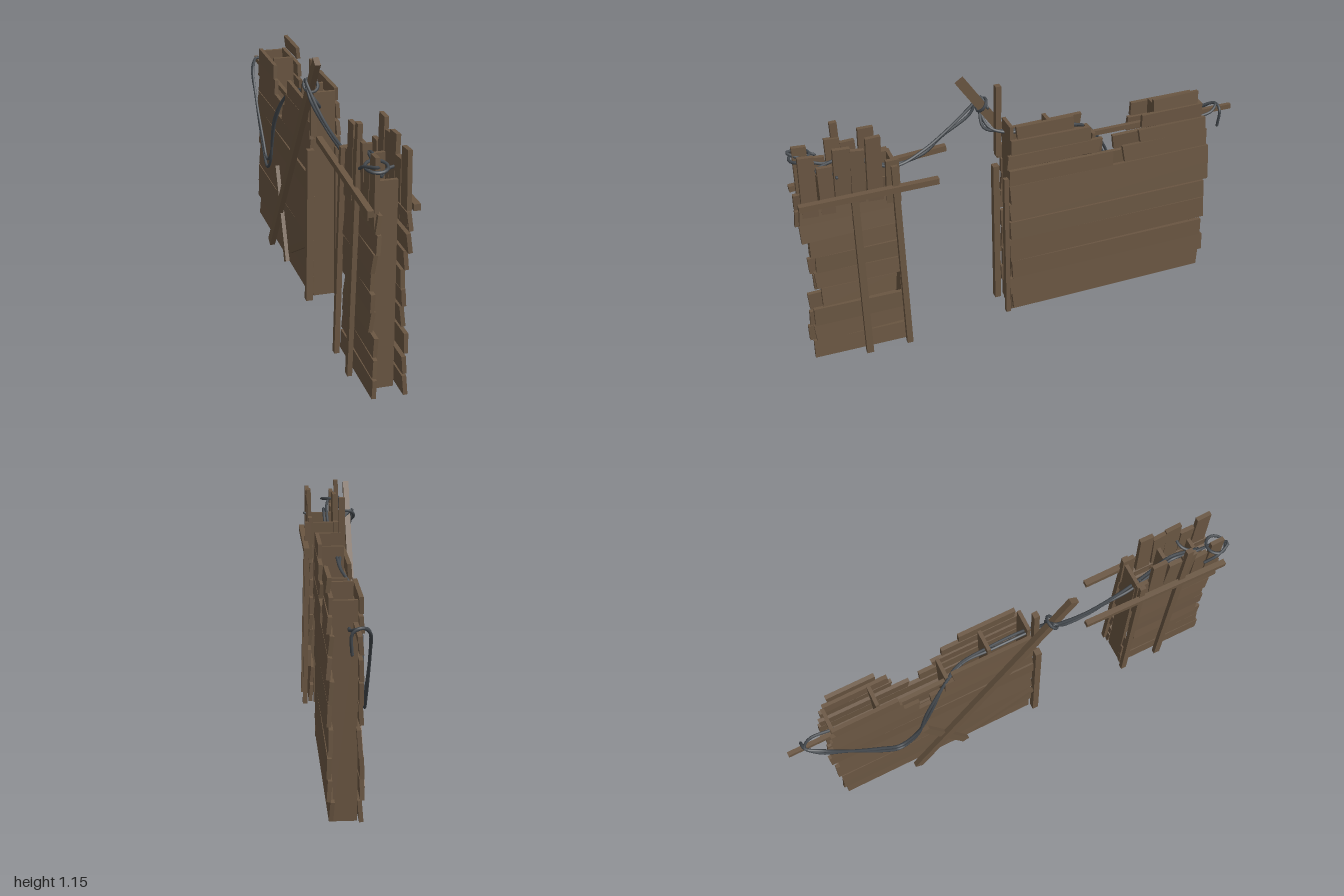
import * as THREE from 'three';

export function createModel() {
  const model = new THREE.Group();
  const wood = new THREE.MeshStandardMaterial({ color: 0x6a5642 });
  wood.name = 'weatheredWood';
  const rubber = new THREE.MeshStandardMaterial({ color: 0x43484d });
  rubber.name = 'greyCable';

  // Small seeded generator for uneven boards, returns -1..1
  let seed = 7;
  const rnd = () => {
    seed = (seed * 16807) % 2147483647;
    return (seed / 2147483647) * 2 - 1;
  };

  function add(name, geometry, material, parent = model) {
    const mesh = new THREE.Mesh(geometry, material);
    mesh.name = name;
    parent.add(mesh);
    return mesh;
  }

  // Board along z between z0 and z1, y0 and y1, with roughly sawn ends
  function board(name, parent, x, y0, y1, z0, z1, t = 0.017, rough = 0.006) {
    const g = new THREE.BoxGeometry(t, y1 - y0, z1 - z0);
    const p = g.attributes.position;
    const dz = [0, 1, 2, 3].map(() => rnd() * rough);
    const dy = [0, 1, 2, 3].map(() => rnd() * rough * 0.6);
    for (let i = 0; i < p.count; i++) {
      const k = (p.getY(i) > 0 ? 1 : 0) + (p.getZ(i) > 0 ? 2 : 0);
      p.setY(i, p.getY(i) + dy[k]);
      p.setZ(i, p.getZ(i) + dz[k]);
    }
    g.computeVertexNormals();
    const m = add(name, g, wood, parent);
    m.position.set(x, (y0 + y1) / 2, (z0 + z1) / 2);
    return m;
  }

  // Straight beam between two points: w across the wall face, t through it
  function beam(name, a, b, w, t) {
    const p = new THREE.Vector3(...a), q = new THREE.Vector3(...b);
    const dir = q.clone().sub(p);
    const m = add(name, new THREE.BoxGeometry(t, dir.length(), w), wood);
    m.position.copy(p).add(q).multiplyScalar(0.5);
    const up = dir.normalize();
    const side = new THREE.Vector3(1, 0, 0).addScaledVector(up, -up.x).normalize();
    m.quaternion.setFromRotationMatrix(
      new THREE.Matrix4().makeBasis(side, up, new THREE.Vector3().crossVectors(side, up)));
    return m;
  }

  // Large wall cladding: bottom, top, then z spans of each row
  const largeRows = [
    [0.02, 0.1, [-0.84, 0.09]], [0.108, 0.187, [-0.85, 0.1]],
    [0.192, 0.278, [-0.84, 0.09]], [0.285, 0.395, [-0.85, 0.1]],
    [0.4, 0.488, [-0.835, 0.1]], [0.494, 0.58, [-0.855, 0.1]],
    [0.586, 0.67, [-0.845, 0.1]], [0.677, 0.75, [-0.83, -0.43], [-0.38, 0.1]],
    [0.757, 0.82, [-0.82, -0.5], [-0.31, 0.11]], [0.826, 0.89, [-0.8, -0.51], [-0.27, 0.09]],
    [0.9, 0.955, [-0.77, -0.56], [-0.19, 0.07]],
  ];
  // Small wall cladding
  const smallRows = [
    [0.02, 0.1, 0.58, 0.995], [0.108, 0.187, 0.58, 0.985], [0.193, 0.278, 0.59, 0.98],
    [0.286, 0.37, 0.62, 0.945], [0.374, 0.452, 0.6, 0.96], [0.456, 0.53, 0.59, 0.95],
    [0.537, 0.615, 0.6, 0.965], [0.62, 0.7, 0.59, 1.0], [0.705, 0.78, 0.59, 0.995],
  ];
  // Upright boards on top of the small wall: z start, z end, top
  const uprights = [
    [0.58, 0.635, 0.92], [0.645, 0.71, 1.045], [0.715, 0.775, 1.0],
    [0.78, 0.84, 1.02], [0.85, 0.905, 0.95], [0.915, 0.98, 1.01],
  ];

  for (const s of [1, -1]) {
    const tag = s > 0 ? 'left' : 'right';
    const large = new THREE.Group();
    large.name = tag + 'LargeWallBoards';
    const small = new THREE.Group();
    small.name = tag + 'SmallWallBoards';
    model.add(large, small);

    largeRows.forEach(([y0, y1, ...spans], row) => {
      if (s < 0 && row === 10) return;
      for (const [z0, z1] of spans) {
        const m = board('board', large, s * (0.057 + rnd() * 0.004), y0, y1, z0, z1);
        m.rotation.set(rnd() * 0.008, rnd() * 0.006, s * (0.06 + rnd() * 0.05));
      }
    });
    for (const [y0, y1, z0, z1] of smallRows) {
      const m = board('board', small, s * (0.06 + rnd() * 0.006), y0, y1, z0, z1);
      m.rotation.set(rnd() * 0.025, rnd() * 0.01, s * (0.08 + rnd() * 0.06));
    }
    for (const [z0, z1, top] of uprights) {
      const m = board('uprightBoard', small, s * 0.06, 0.72, top - (s < 0 ? 0.02 : 0), z0, z1, 0.018);
      m.rotation.set(rnd() * 0.03, 0, s * rnd() * 0.04);
    }

    // Outer battens of the small wall
    beam('edgeBatten', [s * 0.09, 0.005, 0.585], [s * 0.073, 0.9, 0.6], 0.026, 0.022);
    beam('middleBatten', [s * 0.092, 0.005, 0.765],
      [s * 0.073, s > 0 ? 0.8 : 1.065, s > 0 ? 0.77 : 0.8], 0.03, 0.02);
  }

  // Rails across the small wall
  beam('leftRail', [0.085, 0.797, 0.42], [0.085, 0.797, 1.0], 0.026, 0.026);
  beam('rightRail', [-0.09, 0.835, 0.33], [-0.09, 0.79, 1.0], 0.026, 0.024);

  // Cross studs between the two skins: z, height
  const studs = [
    [-0.8, 0.88], [-0.595, 0.9], [-0.29, 0.84], [-0.095, 0.93], [0.085, 0.95],
    [0.59, 0.9], [0.74, 0.92], [0.89, 0.87],
  ];
  for (const [z, h] of studs) {
    const m = add('crossStud', new THREE.BoxGeometry(0.094, h - 0.008, 0.016), wood);
    m.position.set(0, (h + 0.008) / 2, z);
  }

  // End posts, protruding rail, leaning pole and braces
  beam('lowerEndPost', [-0.075, 0.005, 0.115], [-0.068, 0.71, 0.118], 0.028, 0.03);
  beam('upperEndPost', [-0.053, 0.77, 0.112], [-0.053, 1.1, 0.108], 0.024, 0.026);
  beam('leftEndPost', [0.055, 0.01, 0.112], [0.05, 0.71, 0.115], 0.02, 0.02);
  beam('endRail', [-0.038, 0.79, -0.27], [-0.038, 0.786, -1.0], 0.022, 0.018);
  beam('leaningPole', [-0.092, 0.012, -0.5], [-0.08, 1.138, 0.262], 0.042, 0.024);
  beam('shortBrace', [-0.08, 0.43, -0.43], [-0.08, 0.02, -0.25], 0.035, 0.018);
  beam('shortBrace', [-0.078, 0.1, -0.2], [-0.078, 0.27, 0.1], 0.03, 0.016);

  // Cables: smooth sagging tubes
  function cable(name, points, r = 0.0065) {
    const curve = new THREE.CatmullRomCurve3(points.map((p) => new THREE.Vector3(...p)));
    add(name, new THREE.TubeGeometry(curve, points.length * 7, r, 7, false), rubber);
    // Closed ends
    for (const u of [0, 1]) {
      const end = add(name + 'End', new THREE.SphereGeometry(r, 7, 5), rubber);
      end.position.copy(curve.getPoint(u));
    }
  }
  // Loop over the rail, sag down the wall, pass through the notch and reach the pole
  for (const k of [0, 1]) {
    cable('wallCable', [
      [-0.015, 0.71 + k * 0.06, -0.93 + k * 0.14], [-0.015, 0.79, -0.935 + k * 0.04],
      [-0.05, 0.808, -0.93], [-0.085, 0.775, -0.88 + k * 0.02], [-0.095, 0.66, -0.77],
      [-0.095, 0.46 + k * 0.04, -0.64], [-0.095, 0.38 + k * 0.04, -0.56],
      [-0.095, 0.44 + k * 0.03, -0.48], [-0.092, 0.67, -0.41 + k * 0.02],
      [-0.06, 0.81, -0.31], [-0.025, 0.86, -0.23 + k * 0.02], [-0.018 - k * 0.014, 0.885, -0.08],
      [-0.02 - k * 0.014, 0.89, 0.08], [-0.045, 0.92, 0.155 + k * 0.02],
      [-0.09, 0.99, 0.175], [-0.102, 1.035, 0.165],
    ]);
    // Span over the gap into the top of the small wall
    cable('spanCable', [
      [-0.06, 1.0, 0.15], [-0.1, 1.035, 0.17], [-0.095, 0.995 - k * 0.03, 0.22],
      [-0.075, 0.92 - k * 0.02, 0.33 + k * 0.02], [-0.05, 0.865 - k * 0.015, 0.44],
      [-0.025 - k * 0.014, 0.835, 0.56], [-0.015 - k * 0.014, 0.87, 0.66],
      [-0.012 - k * 0.014, 0.93, 0.76],
      ...(k ? [[-0.03, 0.91, 0.86], [-0.05, 0.95, 0.96], [-0.075, 0.965, 0.995],
        [-0.1, 0.95, 0.94], [-0.095, 0.92, 0.88]]
        : [[-0.02, 0.89, 0.9], [0, 0.88, 0.86], [0.03, 0.89, 0.835], [0.078, 0.9, 0.835]]),
    ]);
  }
  // Coil at the pole and at the front boards
  const coils = [[[-0.08, 1.01, 0.17], 0.03, 0.9], [[-0.055, 0.95, 0.95], 0.042, 0.2]];
  for (const [c, r, tilt] of coils) {
    const coil = add('cableCoil', new THREE.TorusGeometry(r, 0.0065, 7, 20), rubber);
    coil.position.set(...c);
    coil.rotation.x = Math.PI / 2 + tilt;
  }
  return model;
}
